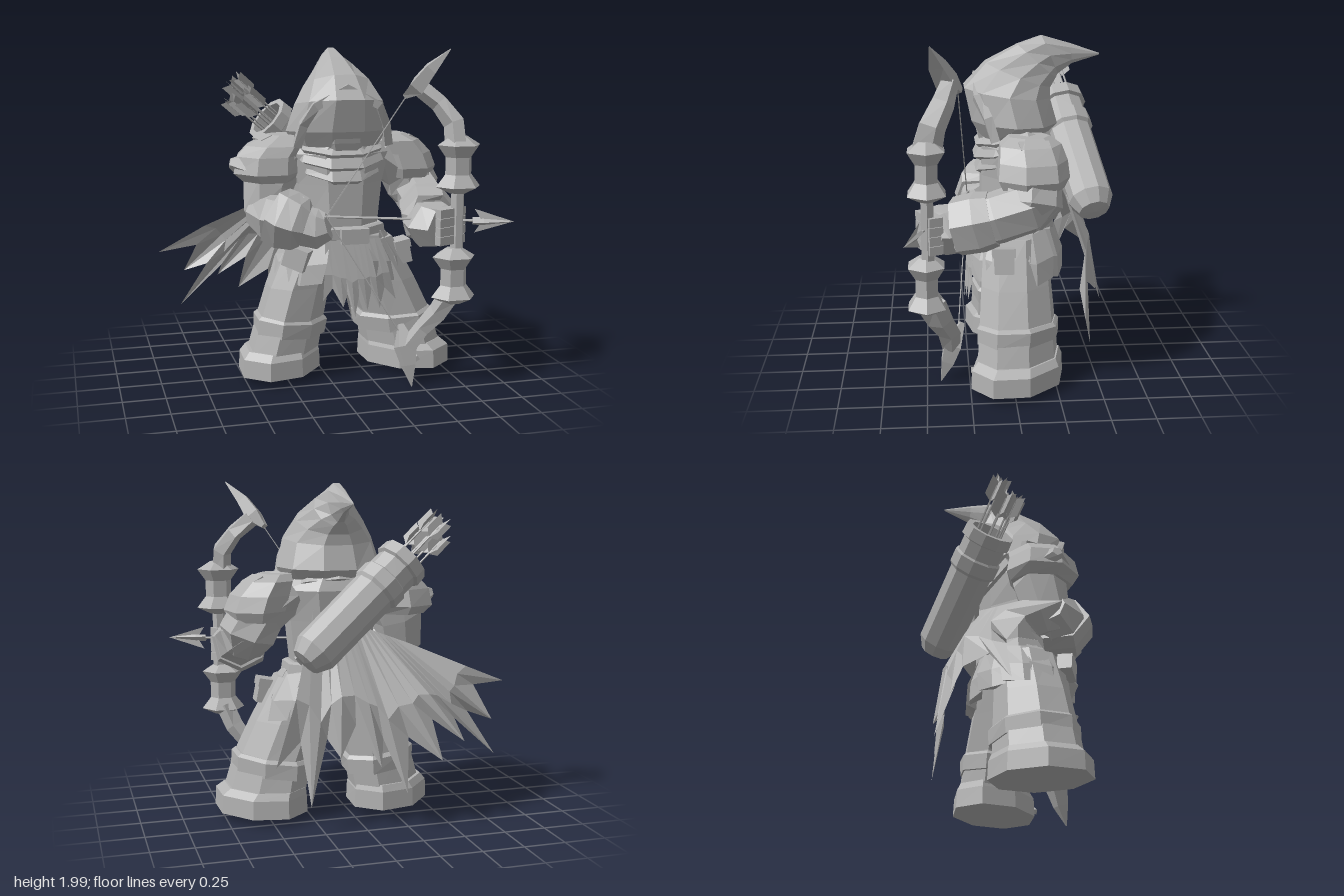
import * as THREE from 'three';

const V = (x, y, z) => new THREE.Vector3(x, y, z);
const grey = new THREE.MeshStandardMaterial({ color: 0xb2b2b2, flatShading: true, side: THREE.DoubleSide });
grey.name = 'plain grey';

// Mesh from a triangle list
function fromTriangles(points) {
  const g = new THREE.BufferGeometry().setFromPoints(points);
  g.computeVertexNormals();
  return g;
}

// Skin rings of points, optionally with end caps
function skin(rings, closed = true) {
  const out = [], n = rings[0].length;
  for (let i = 0; i + 1 < rings.length; i++) {
    for (let j = 0; j < (closed ? n : n - 1); j++) {
      const k = (j + 1) % n, a = rings[i], b = rings[i + 1];
      out.push(a[j], a[k], b[k], a[j], b[k], b[j]);
    }
  }
  if (closed) [rings[0], rings[rings.length - 1]].forEach((r, end) => {
    for (let j = 1; j + 1 < n; j++) out.push(r[0], ...(end ? [r[j], r[j + 1]] : [r[j + 1], r[j]]));
  });
  return fromTriangles(out);
}

function ring(c, u, v, n) {
  return Array.from({ length: n }, (_, j) => {
    const a = (j + 0.5) / n * Math.PI * 2;
    return c.clone().addScaledVector(u, Math.cos(a)).addScaledVector(v, Math.sin(a));
  });
}

// Rows: front z, front y, back z, back y, half width, centre x
const body = (rows, n = 8) => skin(rows.map(([zf, yf, zb, yb, w, x = 0.1]) =>
  ring(V(x, (yf + yb) / 2, (zf + zb) / 2), V(0, (yf - yb) / 2, (zf - zb) / 2), V(w, 0, 0), n)));

// Rows: y, centre x, centre z, half width, half depth; yaw turns every ring
const stack = (rows, n = 8, yaw = 0) => skin(rows.map(([y, x, z, rx, rz]) => {
  const s = Math.sin(yaw), c = Math.cos(yaw);
  return ring(V(x, y, z), V(s * rz, 0, c * rz), V(c * rx, 0, -s * rx), n);
}));

// Rows: x, y, z, radius, second radius; rings stand across the path
function limb(rows, n = 7, ref = V(0, 0.3, 1)) {
  const p = rows.map(r => V(r[0], r[1], r[2]));
  return skin(rows.map((r, i) => {
    const t = p[Math.min(i + 1, p.length - 1)].clone().sub(p[Math.max(i - 1, 0)]).normalize();
    const u = ref.clone().addScaledVector(t, -ref.dot(t)).normalize();
    return ring(p[i], u.clone().multiplyScalar(r[3]), t.cross(u).multiplyScalar(r[4] ?? r[3]), n);
  }));
}

// Ragged cloth hanging from an edge down to a row of tips
function ragged(a, b, tips, bulge, notch) {
  const n = tips.length * 2 - 1;
  const top = Array.from({ length: n }, (_, i) => a.clone().lerp(b, i / (n - 1)));
  const ends = top.map((t, i) => {
    const p = V(...tips[i >> 1]);
    return i % 2 ? t.clone().lerp(p.lerp(V(...tips[(i >> 1) + 1]), 0.5), notch) : p;
  });
  const mid = top.map((t, i) => t.clone().lerp(ends[i], i % 2 ? 0.7 : 0.55).add(V(0, 0, bulge)));
  return skin([top, mid, ends], false);
}

export function createModel() {
  const root = new THREE.Group();
  const add = (name, geo, parent = root) => {
    const m = new THREE.Mesh(geo, grey);
    m.name = name;
    parent.add(m);
    return m;
  };
  const box = (name, size, pos, rot = [0, 0, 0]) => {
    const m = add(name, new THREE.BoxGeometry(...size));
    m.position.set(...pos);
    m.rotation.set(...rot);
    return m;
  };

  // Legs, boots and cuffs, with the feet turned outward
  const splay = 0.7;
  add('rightLeg', stack([[0.16, -0.25, -0.03, 0.21, 0.27], [0.38, -0.2, -0.03, 0.2, 0.25],
    [0.58, -0.15, -0.03, 0.19, 0.23], [0.86, -0.05, -0.03, 0.18, 0.2]], 8, -splay));
  add('leftLeg', stack([[0.16, 0.51, -0.03, 0.21, 0.27], [0.38, 0.46, -0.03, 0.2, 0.25],
    [0.6, 0.37, -0.03, 0.19, 0.23], [0.86, 0.25, -0.03, 0.18, 0.2]], 8, splay));
  [[-0.27, 'right', -0.2, -1], [0.53, 'left', 0.46, 1]].forEach(([x, side, cx, s]) => {
    add(side + 'Boot', stack([[0.05, x, -0.025, 0.24, 0.305], [0.16, x, -0.025, 0.235, 0.3], [0.2, x * 0.96, -0.035, 0.21, 0.27]], 8, s * splay));
    const cuff = add(side + 'BootCuff', stack([[-0.06, 0, 0, 0.21, 0.27], [0.03, 0, 0, 0.22, 0.27], [0.05, 0, 0, 0.2, 0.25]], 8, s * splay));
    cuff.position.set(cx, 0.34, -0.035);
    cuff.rotation.z = s * 0.1;
  });
  box('bootBuckle', [0.06, 0.03, 0.03], [0.52, 0.11, 0.23], [0, 0, 0.5]);

  // Torso, belt and hip armour
  add('torso', stack([[0.78, 0.1, -0.03, 0.3, 0.23], [0.95, 0.1, -0.03, 0.25, 0.21], [1.2, 0.1, -0.04, 0.28, 0.22],
    [1.38, 0.1, -0.05, 0.33, 0.23], [1.47, 0.1, -0.04, 0.22, 0.2]]));
  add('belt', stack([[0.87, 0.1, -0.03, 0.29, 0.24], [0.88, 0.1, -0.03, 0.3, 0.25], [0.94, 0.1, -0.03, 0.29, 0.25], [0.95, 0.1, -0.03, 0.27, 0.23]]));
  box('beltBuckle', [0.17, 0.09, 0.04], [0.14, 0.9, 0.22]);
  for (let i = 0; i < 9; i++) {
    const a = 0.75 + i * 0.6, s = Math.sin(a), c = Math.cos(a);
    const at = (r, y, off, wide) => V(0.1 + s * r * wide + c * off, y, -0.03 + c * r - s * off);
    const rows = [[0.21, 0.9, 0.1, 1.25], [0.26, 0.75, 0.13, 1.35], [0.265, 0.63, 0.12, 1.45]];
    add('hipPlate', skin(rows.map(([r, y, w, k]) => [at(r, y, -w, k), at(r + 0.035, y - 0.02, 0, k), at(r, y, w, k), at(r - 0.04, y, 0, k)])));
  }
  box('hipPouch', [0.09, 0.12, 0.11], [0.49, 0.75, 0.05], [0, 0, 0.2]);
  box('hipPouchFlap', [0.1, 0.05, 0.13], [0.48, 0.81, 0.05], [0, 0, 0.2]);
  box('rightPouch', [0.14, 0.13, 0.09], [-0.2, 0.78, 0.17], [0, -0.6, -0.3]);
  add('frontCloth', ragged(V(-0.04, 0.88, 0.21), V(0.3, 0.88, 0.21),
    [[-0.06, 0.52, 0.24], [0.06, 0.48, 0.26], [0.13, 0.42, 0.27], [0.21, 0.45, 0.26], [0.29, 0.46, 0.25], [0.4, 0.5, 0.22]], 0.015, 0.75));

  // Hood with a tail curling backward
  add('hood', body([[0.17, 1.42, -0.24, 1.45, 0.27], [0.23, 1.52, -0.29, 1.5, 0.32], [0.27, 1.71, -0.25, 1.64, 0.275],
    [0.14, 1.85, -0.25, 1.70, 0.205], [-0.05, 1.95, -0.28, 1.75, 0.125], [-0.19, 2.0, -0.29, 1.77, 0.065],
    [-0.36, 1.95, -0.37, 1.83, 0.03], [-0.53, 1.89, -0.53, 1.88, 0.003]], 10));
  const rim = [[-0.18, 1.43, 0.09], [-0.15, 1.56, 0.13], [-0.09, 1.67, 0.185], [0.1, 1.77, 0.18]];
  const arch = [...rim, ...rim.slice(0, 3).reverse().map(([x, y, z]) => [0.2 - x, y, z])];
  add('hoodRim', limb(arch.map(p => [...p, 0.035, 0.035]), 4, V(0, 0, 1)));
  add('faceMask', stack([[1.36, 0.1, 0.03, 0.14, 0.14], [1.45, 0.1, 0.03, 0.2, 0.17], [1.58, 0.1, 0.03, 0.22, 0.2], [1.68, 0.1, 0.04, 0.16, 0.19]]));
  // Draped scarf in stepped folds
  add('scarf', body([[0.16, 1.19, -0.2, 1.37, 0.2], [0.21, 1.22, -0.25, 1.4, 0.26], [0.18, 1.28, -0.23, 1.43, 0.25],
    [0.22, 1.3, -0.26, 1.45, 0.29], [0.19, 1.36, -0.24, 1.47, 0.27], [0.21, 1.38, -0.25, 1.49, 0.28], [0.15, 1.44, -0.2, 1.51, 0.2]], 9));

  // Right arm, bent to draw the string
  add('rightUpperArm', limb([[-0.22, 1.38, -0.06, 0.14], [-0.33, 1.2, -0.05, 0.16], [-0.35, 1.04, -0.02, 0.14], [-0.33, 0.92, 0.02, 0.08]]));
  add('rightForearm', limb([[-0.42, 1.04, -0.02, 0.09], [-0.34, 1.02, 0.06, 0.15], [-0.18, 0.99, 0.15, 0.15]]));
  add('rightBracer', limb([[-0.31, 1.03, 0.08, 0.18], [-0.25, 1.0, 0.12, 0.185], [-0.18, 0.98, 0.17, 0.165], [-0.15, 0.97, 0.18, 0.13]], 6));
  add('rightHand', limb([[-0.17, 0.97, 0.16, 0.12], [-0.08, 0.95, 0.19, 0.12], [-0.02, 0.97, 0.22, 0.08]], 6));
  // Left arm, reaching forward to the grip
  add('leftUpperArm', limb([[0.36, 1.38, -0.08, 0.14], [0.54, 1.27, -0.1, 0.17], [0.61, 1.13, -0.1, 0.17], [0.62, 1.02, -0.06, 0.1]]));
  add('leftForearm', limb([[0.6, 1.16, -0.2, 0.09], [0.62, 1.12, -0.08, 0.15], [0.62, 1.06, 0.1, 0.15], [0.59, 1.0, 0.28, 0.14]], 7, V(0, 1, 0)));
  add('leftBracer', limb([[0.61, 1.05, 0.12, 0.16], [0.6, 1.03, 0.2, 0.175], [0.57, 1.0, 0.32, 0.17], [0.57, 1.0, 0.34, 0.13]], 7, V(0, 1, 0)));
  add('leftHand', limb([[0.56, 0.99, 0.3, 0.14, 0.15], [0.56, 0.98, 0.4, 0.14, 0.17], [0.6, 0.98, 0.47, 0.12, 0.14]], 6, V(0, 1, 0)));
  for (let i = 0; i < 4; i++) box('leftFinger', [0.2, 0.05, 0.08], [0.63, 0.91 + i * 0.053, 0.47], [0, 0.4, 0]);

  // Shoulder armour: flared shells
  add('rightPauldron', stack([[1.22, -0.33, -0.04, 0.16, 0.19], [1.27, -0.34, -0.04, 0.21, 0.22], [1.37, -0.33, -0.04, 0.2, 0.2],
    [1.43, -0.28, -0.05, 0.19, 0.18], [1.49, -0.23, -0.06, 0.1, 0.11]], 7));
  add('rightPauldronPoint', limb([[-0.36, 1.29, -0.02, 0.18, 0.1], [-0.46, 1.31, -0.02, 0.13, 0.09], [-0.56, 1.33, -0.03, 0.03]], 5));
  add('leftPauldron', stack([[1.21, 0.56, -0.1, 0.16, 0.18], [1.27, 0.56, -0.1, 0.185, 0.21], [1.36, 0.53, -0.1, 0.18, 0.2],
    [1.44, 0.48, -0.09, 0.15, 0.18], [1.48, 0.44, -0.09, 0.1, 0.12]], 7));
  [[0.56, 1.42, -0.11, 0.5], [-0.34, 1.44, -0.08, -0.4]].forEach(([x, y, z, r]) => box('pauldronRidge', [0.07, 0.08, 0.17], [x, y, z], [0, 0.15, -r]));

  // Torn cape blown toward the right
  add('cape', ragged(V(0.26, 1.28, -0.27), V(-0.32, 1.06, -0.26),
    [[0.52, 0.4, -0.42], [0.33, 0.17, -0.48], [0.17, 0.46, -0.53], [-0.06, 0.4, -0.57], [-0.2, 0.25, -0.62], [-0.42, 0.42, -0.6],
      [-0.56, 0.52, -0.58], [-0.83, 0.38, -0.4], [-0.8, 0.6, -0.42], [-0.98, 0.78, -0.18]], -0.075, 0.74));

  // Quiver with spare arrows
  const quiver = new THREE.Group();
  quiver.name = 'quiver';
  quiver.position.set(0.31, 1.06, -0.47);
  quiver.quaternion.setFromUnitVectors(V(0, 1, 0), V(-0.59, 0.51, 0.13).normalize());
  root.add(quiver);
  const outline = [[0, -0.08], [0.09, -0.07], [0.132, 0.01], [0.135, 0.5], [0.15, 0.52], [0.15, 0.6], [0.135, 0.61],
    [0.135, 0.7], [0.155, 0.71], [0.15, 0.78], [0.115, 0.78], [0.11, 0.6], [0, 0.6]];
  add('quiverCase', new THREE.LatheGeometry(outline.map(p => new THREE.Vector2(...p)), 10), quiver);
  for (let i = 0; i < 7; i++) {
    const a = i * 2.4, r = i ? 0.075 : 0, x = Math.cos(a) * r, z = Math.sin(a) * r, len = 0.37 + (i % 3) * 0.04;
    add('spareArrowShaft', new THREE.CylinderGeometry(0.006, 0.006, len, 4), quiver).position.set(x, 0.6 + len / 2, z);
    const fletch = new THREE.Shape([[-0.01, 0], [-0.05, 0.03], [-0.05, 0.15], [0, 0.12], [0.05, 0.15], [0.05, 0.03], [0.01, 0]].map(p => new THREE.Vector2(...p)));
    for (let k = 0; k < 2; k++) {
      const f = add('spareArrowFeather', new THREE.ShapeGeometry(fletch), quiver);
      f.position.set(x, 0.5 + len, z);
      f.rotation.y = a + k * Math.PI / 2;
    }
  }
  add('quiverStrap', limb([[-0.2, 1.42, -0.2, 0.02, 0.04], [0.02, 1.25, -0.33, 0.02, 0.04], [0.35, 0.98, -0.25, 0.02, 0.04]], 4));

  // Bow: flared grips, curved limbs and blade tips
  const flare = [[0, 0.05], [0.04, 0.135], [0.11, 0.08], [0.21, 0.08], [0.28, 0.13], [0.33, 0.05]];
  [[1.18, 0.68, 0.48], [0.53, 0.66, 0.49]].forEach(([y, x, z]) => add('bowFlare', stack(flare.map(([h, r]) => [y + h, x, z, r, r * 0.88]), 6)));
  add('bowGrip', limb([[0.68, 1.22, 0.48, 0.04], [0.68, 0.82, 0.48, 0.04]], 6));
  add('upperBowLimb', limb([[0.66, 1.46, 0.48, 0.09, 0.06], [0.66, 1.58, 0.45, 0.08, 0.06], [0.59, 1.69, 0.39, 0.07, 0.05], [0.49, 1.78, 0.35, 0.055]], 5));
  add('lowerBowLimb', limb([[0.65, 0.58, 0.47, 0.09, 0.06], [0.6, 0.46, 0.42, 0.08, 0.06], [0.52, 0.35, 0.37, 0.07, 0.05], [0.44, 0.24, 0.36, 0.055]], 5));
  add('upperBowBlade', limb([[0.42, 1.73, 0.29, 0.03, 0.02], [0.47, 1.79, 0.36, 0.08, 0.06], [0.53, 1.89, 0.41, 0.06, 0.045], [0.63, 2.0, 0.45, 0.003]], 4));
  add('lowerBowBlade', limb([[0.41, 0.36, 0.29, 0.02], [0.42, 0.24, 0.35, 0.07, 0.08], [0.43, 0.13, 0.38, 0.05, 0.05], [0.44, 0.01, 0.42, 0.003]], 4));
  const nock = [-0.04, 1.03, 0.24, 0.004];
  add('upperString', limb([[0.43, 1.74, 0.3, 0.004], nock], 4));
  add('lowerString', limb([[0.43, 0.26, 0.32, 0.004], nock], 4));

  // Drawn arrow
  add('arrowShaft', limb([[-0.05, 1.03, 0.23, 0.008], [0.85, 1.02, 0.55, 0.008]], 5));
  add('arrowHead', limb([[0.76, 1.02, 0.52, 0.012, 0.03], [0.82, 1.02, 0.54, 0.015, 0.03], [0.98, 1.02, 0.6, 0.002]], 4, V(-0.35, 0.9, 0.9)));
  const barb = [V(0.98, 1.02, 0.6), V(0.77, 1.09, 0.52), V(0.81, 1.02, 0.54), V(0.98, 1.02, 0.6), V(0.81, 1.02, 0.54), V(0.77, 0.95, 0.52)];
  add('arrowBarbs', fromTriangles(barb));
  return root;
}
